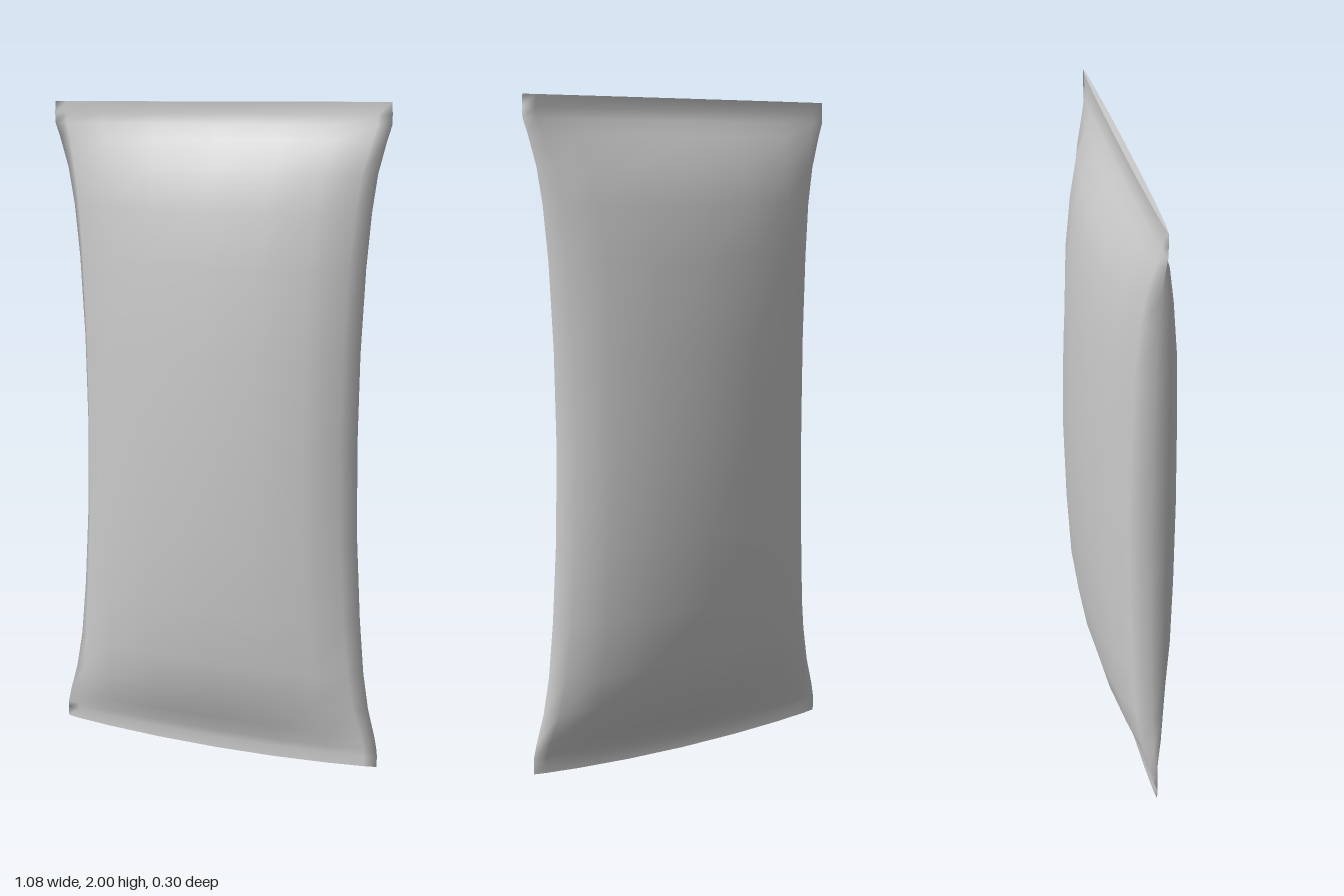
import * as THREE from 'three';

const SIDES = 16;

// Cross-sections from bottom to top: height, half width, half depth, depth offset
const SECTIONS = [
  [0.02, 0.53, 0.009, 0.01],
  [0.05, 0.531, 0.008, 0.01],
  [0.07, 0.53, 0.015, 0.01],
  [0.11, 0.522, 0.034, 0.008],
  [0.2, 0.498, 0.08, 0.005],
  [0.31, 0.48, 0.106, 0.002],
  [0.48, 0.465, 0.129, 0],
  [0.72, 0.452, 0.142, -0.001],
  [1.0, 0.447, 0.148, -0.002],
  [1.28, 0.452, 0.142, -0.001],
  [1.53, 0.465, 0.129, 0],
  [1.69, 0.48, 0.106, 0.002],
  [1.8, 0.497, 0.08, 0.005],
  [1.89, 0.522, 0.034, 0.008],
  [1.935, 0.537, 0.015, 0.01],
  [1.965, 0.538, 0.006, 0.01],
  [2.0, 0.536, 0.009, 0.01],
];

// One elliptical ring; the lowest rings sag slightly in the middle
function ring([y, w, d, z]) {
  const sag = 0.02 * Math.max(0, 1 - (y - 0.02) / 0.09);
  return Array.from({ length: SIDES }, (_, j) => {
    const t = (j / SIDES) * Math.PI * 2;
    const c = Math.cos(t);
    return [w * c, y - sag * (1 - c * c), z + d * Math.sin(t)];
  });
}

function makeGeometry(points, index) {
  const g = new THREE.BufferGeometry();
  g.setAttribute('position', new THREE.Float32BufferAttribute(points.flat(), 3));
  g.setIndex(index);
  g.computeVertexNormals();
  return g;
}

function pouchGeometry() {
  const index = [];
  for (let i = 0; i < SECTIONS.length - 1; i++) {
    for (let j = 0; j < SIDES; j++) {
      const k = (j + 1) % SIDES;
      const a = i * SIDES + j, b = i * SIDES + k;
      const c = a + SIDES, d = b + SIDES;
      index.push(a, c, b, b, c, d);
    }
  }
  return makeGeometry(SECTIONS.flatMap(ring), index);
}

// Thin cap closing one end, stitched front to back
function capGeometry(section, up) {
  const index = [];
  for (let j = 0; j < SIDES / 2; j++) {
    const a = j, b = j + 1, c = (SIDES - j) % SIDES, d = SIDES - j - 1;
    if (up) index.push(a, c, b, b, c, d);
    else index.push(a, b, c, b, d, c);
  }
  return makeGeometry(ring(section), index);
}

export function createModel() {
  const group = new THREE.Group();
  group.name = 'pillowPouch';
  const material = new THREE.MeshStandardMaterial({ color: 0xcccccc, side: THREE.DoubleSide });
  const add = (name, geometry) => {
    const mesh = new THREE.Mesh(geometry, material);
    mesh.name = name;
    group.add(mesh);
  };

  // Puffed body with its pinched, flared seals
  add('pouchBody', pouchGeometry());
  // Closed ends
  add('bottomSealEdge', capGeometry(SECTIONS[0], false));
  add('topSealEdge', capGeometry(SECTIONS[SECTIONS.length - 1], true));
  return group;
}
